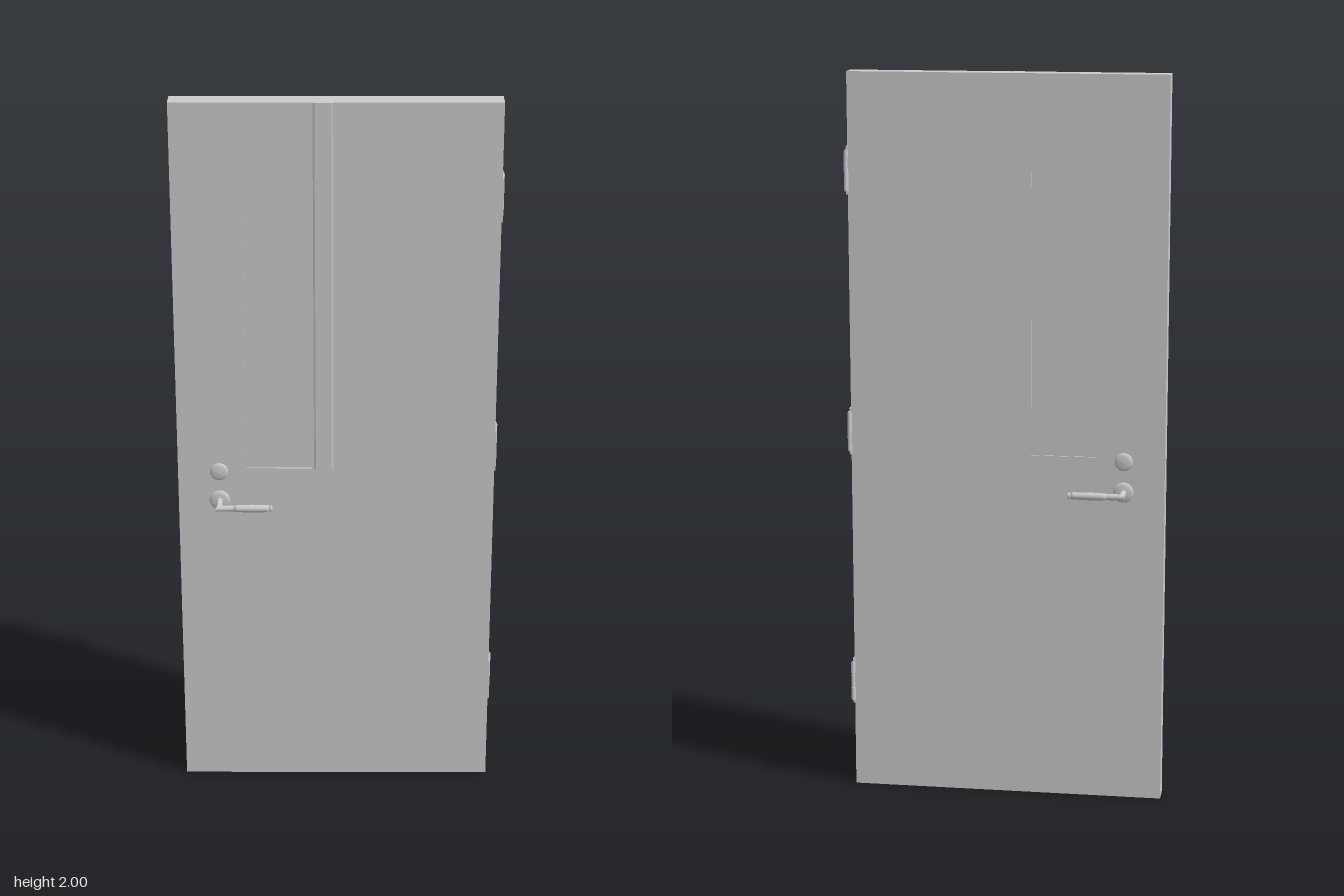
import * as THREE from 'three';

const mat = new THREE.MeshStandardMaterial({ color: 0xcccccc });
const FRONT = 0.028, BACK = -0.03;

function add(parent, geometry, name, x = 0, y = 0, z = 0) {
  const mesh = new THREE.Mesh(geometry, mat);
  mesh.name = name;
  mesh.position.set(x, y, z);
  parent.add(mesh);
  return mesh;
}

function rectPath(target, x0, y0, x1, y1) {
  target.moveTo(x0, y0);
  target.lineTo(x1, y0);
  target.lineTo(x1, y1);
  target.lineTo(x0, y1);
  target.closePath();
  return target;
}

// Lathe profile turned so its axis points along +z
function latheZ(points) {
  const g = new THREE.LatheGeometry(points.map(p => new THREE.Vector2(p[0], p[1])), 32);
  return g.rotateX(Math.PI / 2);
}

// Shallow domed disc that sits on a door face
function rose(r, h) {
  return latheZ([[r, 0], [r, h * 0.25], [r * 0.88, h * 0.6], [r * 0.6, h * 0.9], [0, h]]);
}

// Lever set for one face, built facing +z
function leverSet(name) {
  const set = new THREE.Group();
  set.name = name;
  add(set, rose(0.028, 0.009), 'handleRose', 0, 0.875, 0);
  add(set, rose(0.025, 0.009), 'lockRose', 0, 0.96, 0);

  // Neck and arm meet in a mitred corner
  const r = 0.0085, reach = 0.056, sides = 20;
  const rings = [
    a => [r * Math.cos(a), r * Math.sin(a), 0],
    a => [r * Math.cos(a), r * Math.sin(a), reach - r * Math.cos(a)],
    a => [0.04, r * Math.sin(a), reach - r * Math.cos(a)],
  ];
  for (let k = 0; k < 2; k++) {
    const pos = [], idx = [];
    for (let i = 0; i <= sides; i++) {
      const a = i / sides * Math.PI * 2;
      pos.push(...rings[k](a), ...rings[k + 1](a));
      if (i < sides) {
        const n = i * 2;
        idx.push(n, n + 2, n + 1, n + 1, n + 2, n + 3);
      }
    }
    const g = new THREE.BufferGeometry();
    g.setAttribute('position', new THREE.Float32BufferAttribute(pos, 3));
    g.setIndex(idx);
    g.computeVertexNormals();
    add(set, g, k ? 'leverArm' : 'leverNeck', 0, 0.875, 0);
  }

  // Slightly swollen grip with an end cap
  const grip = latheZ([[0, 0], [0.0085, 0], [0.0098, 0.012], [0.0105, 0.05], [0.0098, 0.09], [0.0092, 0.097], [0, 0.097]]);
  add(set, grip.rotateY(Math.PI / 2), 'leverGrip', 0.04, 0.875, reach);
  const cap = latheZ([[0, 0], [0.0085, 0], [0.0085, 0.008], [0.007, 0.01], [0, 0.01]]);
  add(set, cap.rotateY(Math.PI / 2), 'leverEndCap', 0.136, 0.875, reach);
  return set;
}

function hinge(y) {
  const group = new THREE.Group();
  group.name = 'hinge';
  group.position.y = y;
  // Leaf outline in (z, y), rounded at the front corners
  const h = 0.065, c = 0.012, zf = 0.025, zb = -0.034;
  const s = new THREE.Shape();
  s.moveTo(-zb, -h);
  s.lineTo(-zb, h);
  s.lineTo(-zf + c, h);
  s.quadraticCurveTo(-zf, h, -zf, h - c);
  s.lineTo(-zf, -h + c);
  s.quadraticCurveTo(-zf, -h, -zf + c, -h);
  s.closePath();
  const leaf = new THREE.ExtrudeGeometry(s, { depth: 0.006, bevelEnabled: false, curveSegments: 6 });
  leaf.rotateY(Math.PI / 2);
  add(group, leaf, 'hingeLeaf', 0.423);
  // Knuckle barrels around a pin
  for (let i = -1; i <= 1; i++) {
    add(group, new THREE.CylinderGeometry(0.0055, 0.0055, 0.034, 16), 'hingeKnuckle', 0.4285, i * 0.035, -0.036);
  }
  add(group, new THREE.CylinderGeometry(0.004, 0.004, 0.112, 12), 'hingePin', 0.4285, 0, -0.036);
  return group;
}

export function createModel() {
  const door = new THREE.Group();
  door.name = 'door';

  // Slab with a window opening
  const slab = rectPath(new THREE.Shape(), -0.437, 0, 0.425, 2);
  slab.holes.push(rectPath(new THREE.Path(), -0.25, 0.97, -0.072, 1.74));
  const slabGeo = new THREE.ExtrudeGeometry(slab, { depth: FRONT - BACK, bevelEnabled: false });
  add(door, slabGeo, 'doorSlab', 0, 0, BACK);

  // Window pane, set just inside both faces
  add(door, new THREE.BoxGeometry(0.178, 0.77, FRONT - BACK - 0.008), 'windowPane', -0.161, 1.355, (FRONT + BACK) / 2);

  // Vertical strip beside the window, up to the top edge
  const strip = new THREE.Shape();
  strip.moveTo(-0.066, 0);
  strip.lineTo(-0.013, 0);
  strip.lineTo(-0.013, 0.003);
  strip.lineTo(-0.018, 0.005);
  strip.lineTo(-0.061, 0.005);
  strip.lineTo(-0.066, 0.003);
  strip.closePath();
  const stripGeo = new THREE.ExtrudeGeometry(strip, { depth: 1.03, bevelEnabled: false });
  stripGeo.rotateX(Math.PI / 2);
  add(door, stripGeo, 'coverStrip', 0, 2, FRONT);

  // Lever sets on both faces, the rear one mirrored
  const front = leverSet('frontHandle');
  front.position.set(-0.325, 0, FRONT);
  const rear = leverSet('rearHandle');
  rear.position.set(-0.325, 0, BACK);
  rear.scale.z = -1;
  door.add(front, rear);

  // Lock plate on the closing edge
  add(door, new THREE.BoxGeometry(0.002, 0.24, 0.02), 'lockPlate', -0.4365, 0.9, 0);

  for (const y of [0.305, 1.022, 1.737]) door.add(hinge(y));
  return door;
}
